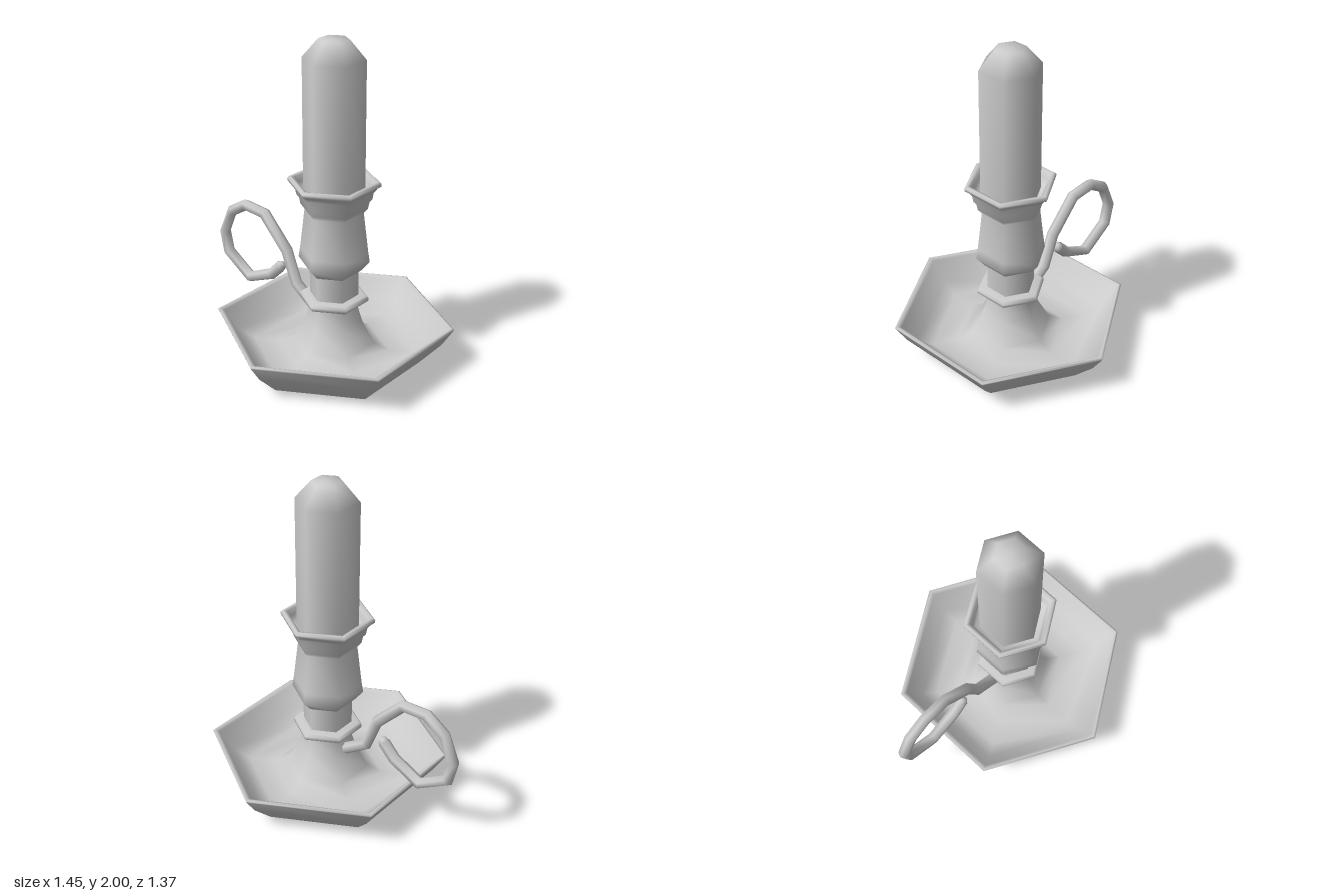
import * as THREE from 'three';

const material = new THREE.MeshStandardMaterial({ color: 0xcccccc, side: THREE.DoubleSide });
const TURN = THREE.MathUtils.degToRad(19.8);

// Six-sided turned part from a [radius, height] profile running bottom to top
function turned(name, profile) {
  const points = profile.map(([r, y]) => new THREE.Vector2(r, y));
  const mesh = new THREE.Mesh(new THREE.LatheGeometry(points, 6, TURN), material);
  mesh.name = name;
  mesh.position.x = 0.005;
  return mesh;
}

// Curled handle: a six-sided tube lying in an upright plane through the axis
function makeHandle() {
  const path = [
    [0.13, 0.27], [0.30, 0.39], [0.377, 0.59], [0.56, 0.785], [0.725, 0.797], [0.85, 0.72],
    [0.92, 0.56], [0.89, 0.425], [0.70, 0.30], [0.51, 0.385], [0.43, 0.465],
  ].map(([u, y]) => new THREE.Vector3(-0.757 * u, y, -0.653 * u));
  const curve = new THREE.CatmullRomCurve3(path);
  // Put the tube's rings exactly on the path points
  curve.getPointAt = (t, target) => curve.getPoint(t, target);
  curve.getTangentAt = (t, target) => curve.getTangent(t, target);

  const handle = new THREE.Group();
  handle.name = 'handle';
  const bar = new THREE.Mesh(new THREE.TubeGeometry(curve, path.length - 1, 0.036, 6), material);
  bar.name = 'handleBar';
  const tip = new THREE.Mesh(new THREE.SphereGeometry(0.034, 6, 4), material);
  tip.name = 'handleTip';
  tip.position.copy(path[path.length - 1]);
  handle.add(bar, tip);
  return handle;
}

export function createModel() {
  const model = new THREE.Group();
  model.name = 'candleHolder';

  // Dish with a rolled rim, its floor sweeping up into the stem
  model.add(turned('dishBase', [[0, 0], [0.53, 0]]));
  model.add(turned('dish', [
    [0.53, 0], [0.66, 0.135], [0.725, 0.235], [0.73, 0.247], [0.715, 0.253], [0.69, 0.24],
    [0.60, 0.12], [0.50, 0.06], [0.34, 0.065], [0.25, 0.11], [0.175, 0.25], [0.148, 0.34], [0.148, 0.40],
  ]));

  // Stem, collar ring and the swelling candle socket
  model.add(turned('stem', [[0.148, 0.36], [0.148, 0.62]]));
  model.add(turned('collar', [
    [0.14, 0.38], [0.195, 0.382], [0.21, 0.395], [0.21, 0.413], [0.195, 0.427], [0.14, 0.43],
  ]));
  model.add(turned('socket', [
    [0.14, 0.575], [0.165, 0.595], [0.215, 0.655], [0.205, 0.72], [0.176, 0.97], [0.20, 1.00],
    [0.208, 1.04], [0.225, 1.06], [0.232, 1.10], [0.255, 1.13], [0.275, 1.143], [0.277, 1.16],
    [0.262, 1.172], [0.24, 1.165], [0.225, 1.13], [0.21, 1.09], [0.15, 1.08],
  ]));

  // Candle with a bevelled top
  model.add(turned('candle', [[0.183, 1.05], [0.183, 1.89], [0.09, 2], [0, 2]]));

  model.add(makeHandle());
  return model;
}
